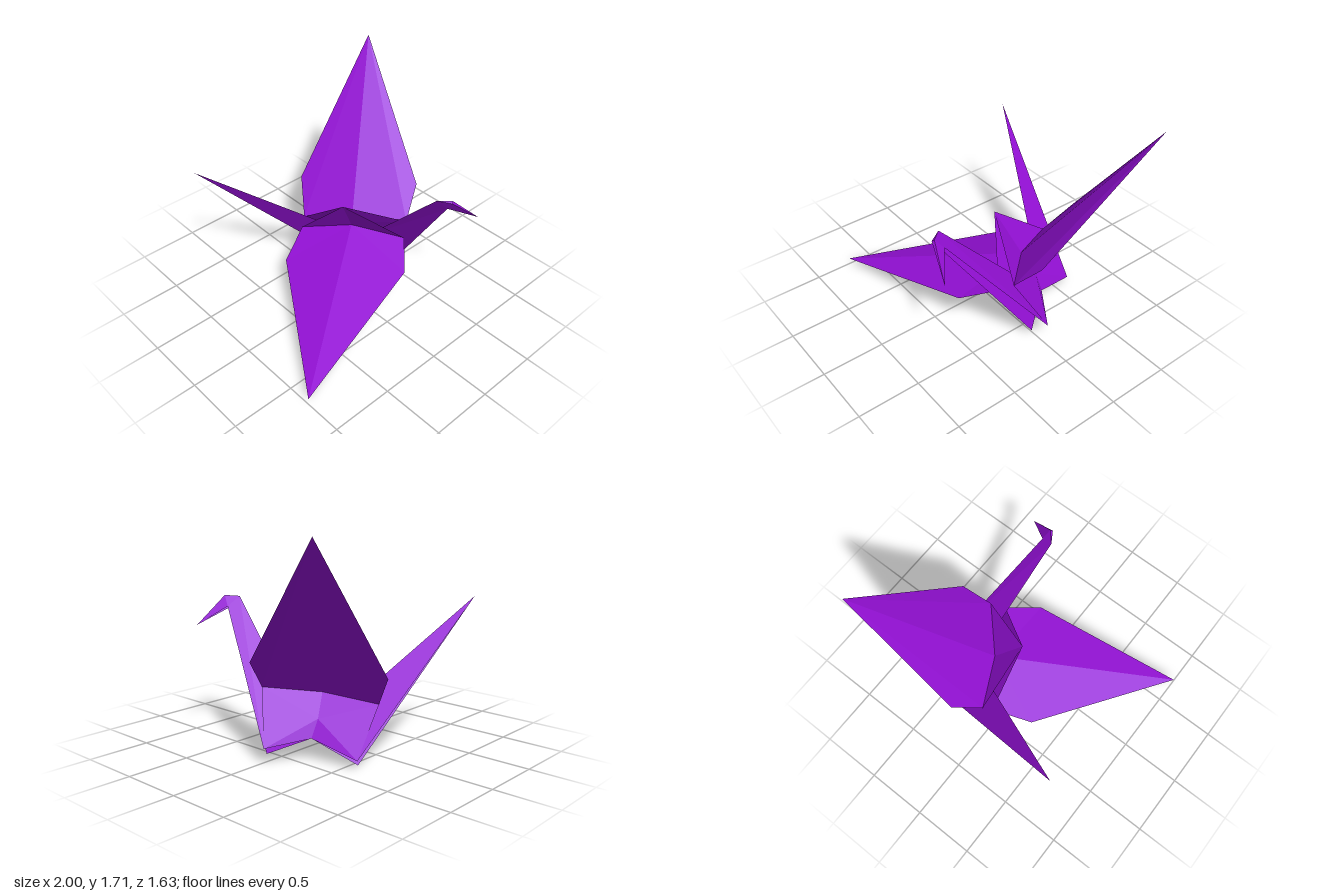
import * as THREE from 'three';

// Fold points of one half of the folded bird; the other half is mirrored.
const V = (x, y, z) => new THREE.Vector3(x, y, z);
const wingTip = V(1, 1.72, -0.79), otherTip = V(-1, 0.065, 0.7);

// The bird is tilted, so its plane of symmetry lies halfway between the wing tips.
const normal = wingTip.clone().sub(otherTip).normalize();
const plane = new THREE.Plane().setFromNormalAndCoplanarPoint(
  normal, wingTip.clone().add(otherTip).multiplyScalar(0.5));
const mirror = p => p.clone().addScaledVector(normal, -2 * plane.distanceToPoint(p));
const onPlane = (x, y, z) => plane.projectPoint(V(x, y, z), new THREE.Vector3());

const P = {
  wingTip,
  wingFront: V(0.75, 0.765, 0.06),
  wingBack: V(0.2, 0.68, -0.76),
  rootFront: V(0.55, 0.53, 0.15),
  rootMid: V(0.245, 0.49, -0.18),
  rootBack: V(0.06, 0.43, -0.57),
  side: V(0.36, 0.32, -0.24),
  neckBase: V(0.73, 0.14, -0.05),
  tailBase: V(0.348, 0.08, -0.608),
  brow: V(0.39, 1.14, 0.73),
  hump: onPlane(0.04, 0.82, -0.065),
  belly: onPlane(0.43, 0.185, -0.24),
  tailTip: onPlane(-0.79, 1.16, -0.82),
  nape: onPlane(0.31, 1.13, 0.645),
  beakTip: onPlane(0.61, 0.92, 0.81),
};
P.throat = P.brow.clone().lerp(P.neckBase, 0.08);
P.browMid = onPlane(P.brow.x, P.brow.y, P.brow.z);

export function createModel() {
  const group = new THREE.Group();
  const paper = new THREE.MeshStandardMaterial({
    color: 0x9410d6, flatShading: true, side: THREE.DoubleSide,
  });

  // Sheet of paper made of polygons, each a space-separated list of fold points
  function addSheet(name, polygons, mirrored) {
    const points = [];
    for (const polygon of polygons) {
      const corners = polygon.split(' ').map(k => mirrored ? mirror(P[k]) : P[k]);
      if (mirrored) corners.reverse();
      for (let i = 1; i < corners.length - 1; i++) points.push(corners[0], corners[i], corners[i + 1]);
    }
    const geometry = new THREE.BufferGeometry().setFromPoints(points);
    geometry.computeVertexNormals();
    const mesh = new THREE.Mesh(geometry, paper);
    mesh.name = name;
    group.add(mesh);
  }

  for (const mirrored of [false, true]) {
    const sideName = mirrored ? 'right' : 'left';
    // Wing, creased along its middle
    addSheet(sideName + 'Wing', [
      'wingTip rootMid rootFront wingFront',
      'wingTip wingBack rootBack rootMid',
    ], mirrored);
    // Peaked back between the wings
    addSheet(sideName + 'Back', [
      'hump rootFront rootMid',
      'hump rootMid rootBack',
    ], mirrored);
    // Body side below the wing, fanned about its dent
    addSheet(sideName + 'BodySide', [
      'side rootFront rootMid',
      'side rootMid rootBack',
      'side rootBack tailBase',
      'side tailBase belly',
      'side belly neckBase',
      'side neckBase rootFront',
    ], mirrored);
    // Tail flap, hinged on the ridge from belly to tip
    addSheet(sideName + 'Tail', ['tailTip belly tailBase'], mirrored);
    // Neck flap, hinged on the ridge from belly to nape
    addSheet(sideName + 'Neck', ['nape belly neckBase throat', 'nape throat brow'], mirrored);
    // Head and beak
    addSheet(sideName + 'Head', [
      'nape brow browMid',
      'browMid brow beakTip',
      'brow throat beakTip',
    ], mirrored);
  }
  return group;
}
